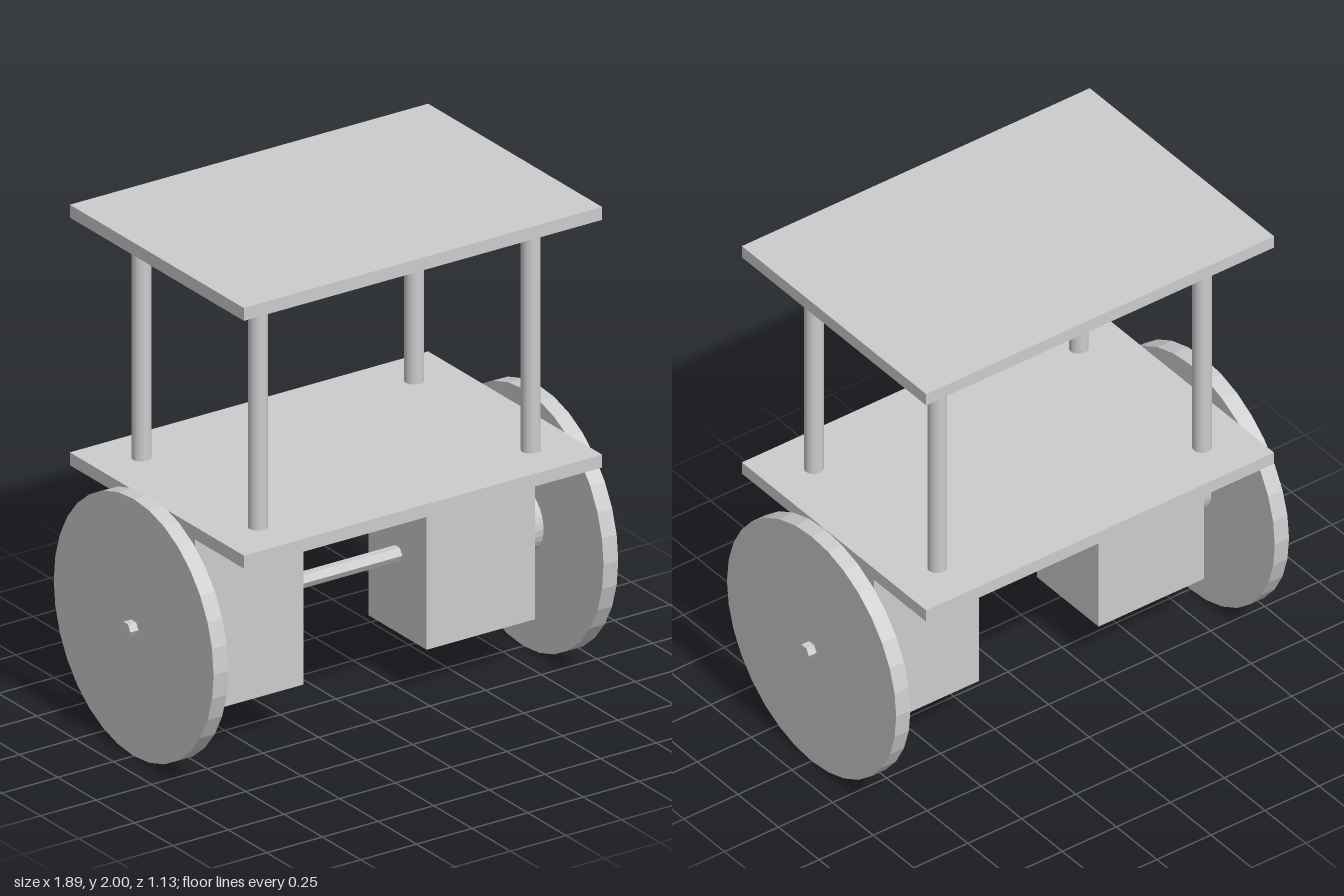
import * as THREE from 'three';

export function createModel() {
  const model = new THREE.Group();
  const grey = new THREE.MeshStandardMaterial({ color: 0xcccccc });
  grey.name = 'plain grey';
  grey.flatShading = true;

  const add = (name, geometry, x, y, z) => {
    const mesh = new THREE.Mesh(geometry, grey);
    mesh.name = name;
    mesh.position.set(x, y, z);
    model.add(mesh);
  };
  // cylinder lying along x
  const disc = (radius, width, sides) =>
    new THREE.CylinderGeometry(radius, radius, width, sides).rotateZ(Math.PI / 2);

  const axleY = 0.522;

  // lower deck and upper deck
  const plate = new THREE.BoxGeometry(1.61, 0.052, 1.135);
  add('lowerDeck', plate, 0, 0.97, 0);
  add('upperDeck', plate, 0, 1.974, 0);

  // four posts between the decks
  const post = new THREE.CylinderGeometry(0.037, 0.037, 0.956, 32);
  for (const x of [-0.613, 0.613])
    for (const z of [-0.38, 0.38]) add('post', post, x, 1.472, z);

  // hexagonal axle through both wheels
  add('axle', disc(0.031, 1.89, 6), 0, axleY, 0);

  // motor block, hub and wheel on each side
  const block = new THREE.BoxGeometry(0.487, 0.744, 0.38);
  const hub = disc(0.13, 0.08, 32);
  const wheel = disc(0.521, 0.066, 32);
  for (const side of [-1, 1]) {
    add('motorBlock', block, side * 0.52, 0.572, 0);
    add('hub', hub, side * 0.803, axleY, 0);
    add('wheel', wheel, side * 0.876, axleY, 0);
  }
  return model;
}
